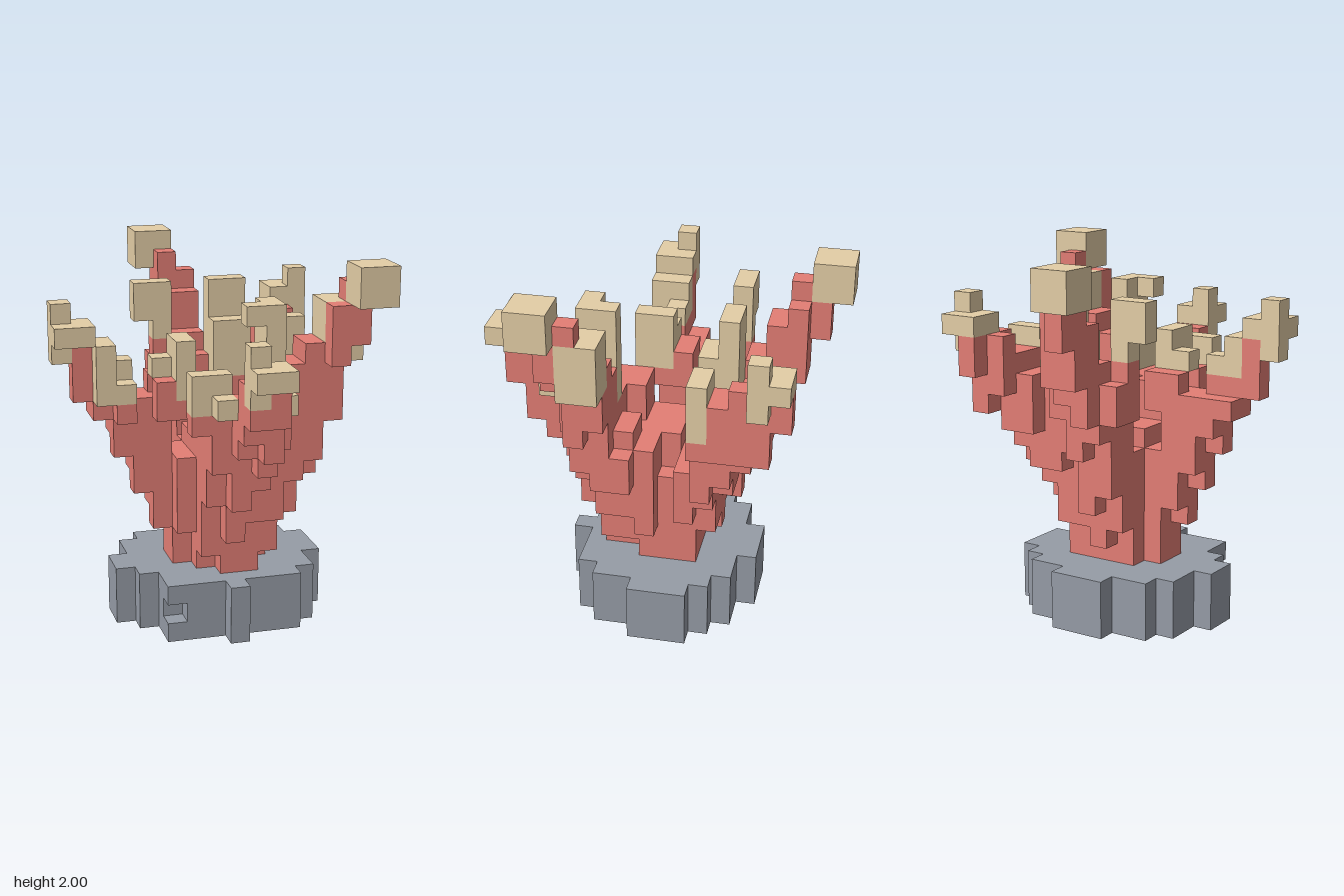
import * as THREE from 'three';
import { mergeGeometries } from 'three/addons/utils/BufferGeometryUtils.js';

const U = 2 / 19; // size of one block

const coralRed = new THREE.MeshStandardMaterial({ color: 0xe47e75 });
coralRed.name = 'coralRed';
const tipTan = new THREE.MeshStandardMaterial({ color: 0xe4cea6 });
tipTan.name = 'tipTan';
const stoneGrey = new THREE.MeshStandardMaterial({ color: 0x969ca6 });
stoneGrey.name = 'stoneGrey';

// One mesh from boxes given in block units: [x0, x1, y0, y1, z0, z1]
function blocks(name, material, list) {
  const geometry = mergeGeometries(list.map(([x0, x1, y0, y1, z0, z1]) =>
    new THREE.BoxGeometry((x1 - x0) * U, (y1 - y0) * U, (z1 - z0) * U)
      .translate((x0 + x1) / 2 * U, (y0 + y1) / 2 * U, (z0 + z1) / 2 * U)));
  const mesh = new THREE.Mesh(geometry, material);
  mesh.name = name;
  return mesh;
}

// A branch: red stepped limb plus tan tips
function branch(name, limb, tips) {
  const g = new THREE.Group();
  g.name = name;
  g.add(blocks(name + 'Limb', coralRed, limb), blocks(name + 'Tips', tipTan, tips));
  return g;
}

export function createModel() {
  const model = new THREE.Group();
  model.name = 'coral';

  // Round stone base: x range of every row, from back to front
  const rows = [[-1, 2], [-3, 4], [-4, 5], [-4, 6], [-5, 6], [-5, 6], [-4, 5], [-3, 5], [-3, 4], [0, 1]];
  const stone = [];
  rows.forEach(([x0, x1], i) => {
    const z = i - 5;
    if (z === 3) { // row with a chipped corner
      stone.push([x0 + 1, x1, 0, 3, z, z + 1], [x0, x0 + 1, 0, 1, z, z + 1], [x0, x0 + 1, 2, 3, z, z + 1]);
    } else stone.push([x0, x1, 0, 3, z, z + 1]);
  });
  model.add(blocks('base', stoneGrey, stone));

  // Trunk widening upwards
  model.add(blocks('trunk', coralRed, [
    [-2, 3, 3, 8, -1, 1], [-1, 2, 3, 8, -2, 2], [1, 3, 3, 8, -2, 1], [0, 2, 3, 7, 2, 3],
    [0, 1, 4, 8, -3, -2], [1, 3, 5, 9, -3, -1], [-1, 0, 5, 9, -3, -1], [-2, 3, 5, 9, 1, 2],
    [-1, 0, 4, 9, 2, 3], [2, 3, 4, 9, 1, 3], [-3, -2, 5, 8, 0, 1], [-3, -2, 6, 9, -1, 0],
    [0, 1, 5, 9, 3, 4], [1, 2, 6, 9, 3, 4], [-1, 0, 7, 9, 3, 4],
    [3, 4, 5, 8, 0, 1], [3, 4, 6, 9, -2, -1], [3, 4, 6, 9, 1, 2],
    [-1, 2, 8, 10, -1, 2], [-1, 2, 8, 9, -3, -1], [4, 5, 8, 10, 1, 2],
    [-1, 1, 10, 12, 1, 2], [2, 4, 8, 11, 1, 2], [2, 4, 8, 10, 0, 1],
  ]));

  // Branch to the model's right
  model.add(branch('rightBranch', [
    [-4, -1, 7, 9, 0, 1], [-3, -1, 8, 9, -1, 0], [-4, -2, 8, 11, -1, 1],
    [-5, -3, 9, 12, 0, 1], [-5, -3, 10, 12, -1, 0],
    [-6, -3, 11, 12, -1, 1], [-3, -2, 9, 12, -1, 1], [-3, -1, 11, 12, -1, 2],
    [-3, -2, 11, 13, 1, 2], [-3, -1, 11, 13, -1, 0],
    [-7, -6, 12, 15, 0, 1], [-5, -4, 11, 12, 0, 2], [-6, -4, 12, 13, 0, 1],
  ], [
    [-6, -5, 13, 15, 0, 1], [-6, -5, 12, 15, 1, 2], [-5, -4, 13, 14, 0, 1], [-5, -4, 12, 13, 1, 2],
    [-8, -6, 15, 16, 0, 2], [-8, -7, 16, 17, 0, 1], [-8, -7, 14, 15, 0, 1],
    [-2, -1, 12, 15, 0, 2], [-3, -2, 13, 14, 0, 1],
  ]));

  // Front branch
  model.add(branch('frontBranch', [
    [0, 1, 7, 11, 4, 5], [1, 2, 8, 11, 4, 5], [0, 2, 7, 11, 3, 4],
    [0, 1, 10, 13, 5, 6], [1, 2, 9, 12, 4, 6], [1, 2, 10, 13, 5, 7],
    [0, 1, 11, 14, 6, 7], [1, 2, 12, 14, 6, 8], [0, 1, 12, 13, 7, 8],
    [-1, 1, 9, 12, 2, 5], [-2, 0, 11, 12, 4, 5], [2, 3, 10, 12, 3, 5],
  ], [
    [0, 2, 14, 15, 7, 9], [0, 1, 15, 16, 7, 8], [0, 1, 13, 14, 7, 8],
    [-2, 0, 12, 14, 4, 5], [-1, 0, 12, 13, 5, 6],
    [2, 3, 12, 14, 4, 5], [2, 3, 12, 13, 5, 6],
  ]));

  // Front branch on the model's left, the tallest
  model.add(branch('frontLeftBranch', [
    [2, 3, 6, 9, 3, 4], [3, 4, 6, 10, 2, 3], [3, 4, 8, 12, 3, 4], [4, 5, 8, 12, 2, 3],
    [4, 5, 9, 12, 3, 4], [1, 3, 8, 12, 2, 4], [3, 4, 10, 14, 2, 4],
    [4, 5, 11, 15, 2, 4], [5, 6, 11, 14, 3, 4], [5, 6, 12, 14, 2, 3], [5, 6, 14, 17, 4, 5],
    [6, 7, 15, 17, 4, 5], [6, 7, 17, 18, 3, 4],
  ], [
    [6, 8, 17, 19, 4, 6], [5, 7, 14, 17, 2, 4],
    [2, 3, 12, 17, 2, 4], [1, 2, 16, 17, 3, 4],
  ]));

  // Back branch
  model.add(branch('backBranch', [
    [0, 1, 6, 10, -4, -2], [-1, 0, 7, 11, -4, -2], [0, 1, 9, 13, -5, -3], [-1, 0, 10, 13, -5, -3],
    [-2, 2, 11, 13, -5, -4], [-1, 0, 11, 14, -6, -4], [0, 1, 12, 14, -6, -4],
    [-1, 1, 13, 16, -7, -5], [-1, 0, 15, 17, -8, -6],
    [0, 1, 15, 17, -7, -6], [-1, 0, 16, 18, -7, -6], [-2, -1, 11, 14, -4, -3],
  ], [
    [-2, 0, 17, 19, -9, -7], [-2, -1, 14, 17, -4, -3], [-3, -2, 15, 17, -4, -3],
  ]));

  // Back branch on the model's left
  model.add(branch('backLeftBranch', [
    [1, 3, 7, 10, -3, -2], [2, 4, 8, 11, -4, -2], [3, 4, 7, 10, -3, -2],
    [1, 3, 9, 12, -4, -2], [1, 3, 12, 13, -4, -3], [3, 5, 9, 12, -4, -2], [4, 5, 8, 12, -3, -2],
    [3, 5, 10, 13, -5, -3], [5, 6, 11, 12, -4, -2], [4, 6, 11, 14, -5, -3],
    [5, 6, 12, 15, -5, -4], [4, 6, 12, 15, -6, -5], [5, 6, 11, 13, -6, -5], [5, 6, 13, 15, -7, -6],
  ], [
    [1, 3, 12, 15, -3, -2], [1, 3, 13, 17, -4, -3],
    [4, 6, 12, 15, -3, -2],
    [6, 7, 14, 17, -6, -5], [5, 7, 15, 16, -7, -5],
  ]));

  return model;
}
